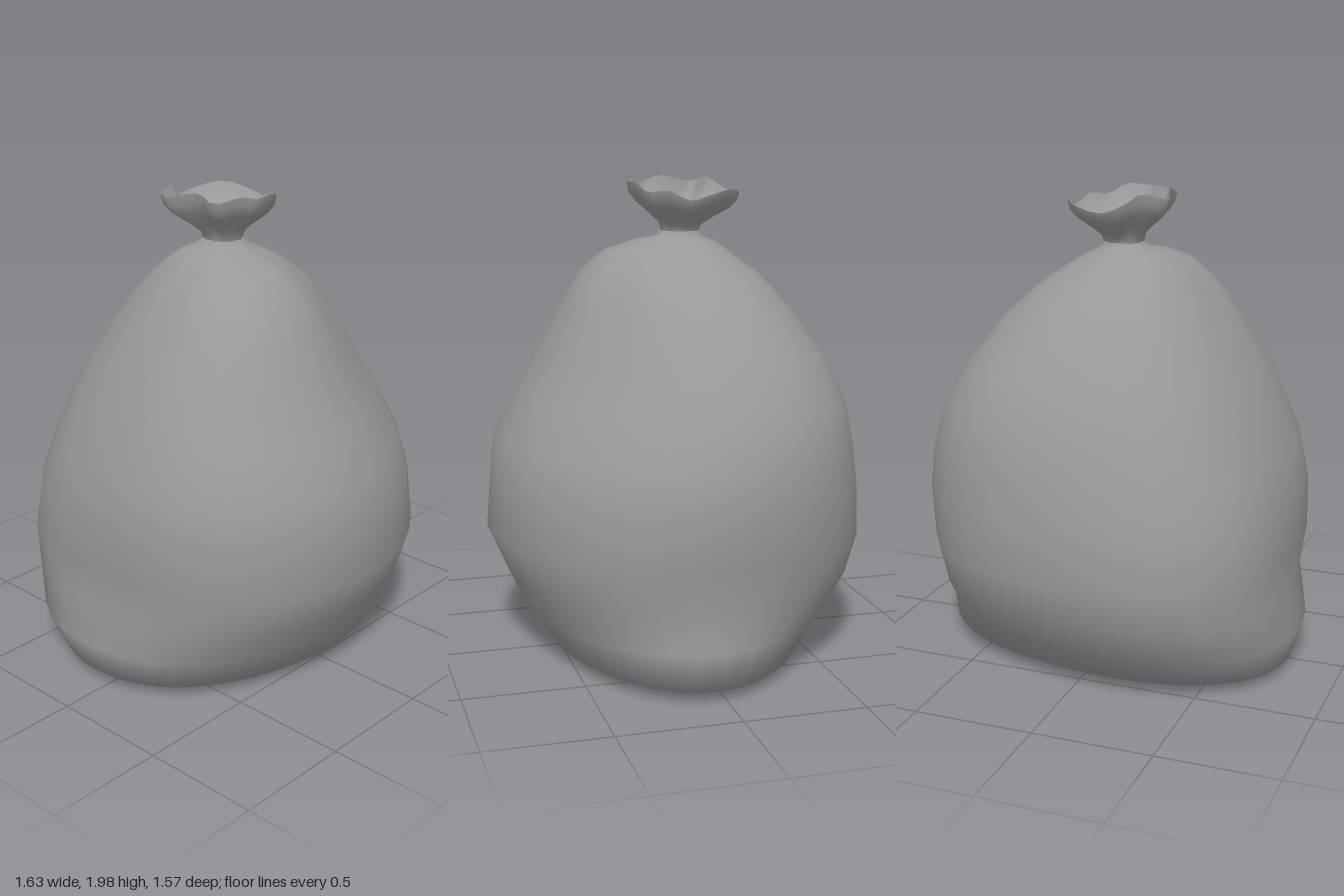
import * as THREE from 'three';

const SEG = 36;
const material = new THREE.MeshStandardMaterial({ color: 0x999999, side: THREE.DoubleSide });

// Skin a stack of closed rings (arrays of SEG points) with smooth normals
function loft(rings, name) {
  const pos = [], index = [];
  rings.forEach(ring => ring.forEach(p => pos.push(p.x, p.y, p.z)));
  for (let i = 0; i < rings.length - 1; i++) {
    for (let j = 0; j < SEG; j++) {
      const k = (j + 1) % SEG;
      const a = i * SEG + j, b = i * SEG + k, c = a + SEG, d = b + SEG;
      index.push(a, c, b, b, c, d);
    }
  }
  const geo = new THREE.BufferGeometry();
  geo.setAttribute('position', new THREE.Float32BufferAttribute(pos, 3));
  geo.setIndex(index);
  geo.computeVertexNormals();
  const mesh = new THREE.Mesh(geo, material);
  mesh.name = name;
  return mesh;
}

// One cross-section: extents, fullness on all diagonals, skew between the
// two diagonals, and pleat depth
function section([y, x0, x1, z0, z1, full = 0, skew = 0, pleat = 0]) {
  return Array.from({ length: SEG }, (_, j) => {
    const a = (j / SEG) * Math.PI * 2;
    const diagonal = Math.sin(2 * a) ** 2 * (full + 0.035 - 0.05 * Math.cos(a - Math.PI / 4));
    const lean = -0.08 * Math.cos(a) * Math.sin(a) ** 4 + skew * Math.sin(2 * a);
    const r = 1 + diagonal + lean + pleat * Math.cos(9 * a + Math.sin(2 * a));
    return new THREE.Vector3(
      (x0 + x1) / 2 + ((x1 - x0) / 2) * r * Math.cos(a), y,
      (z0 + z1) / 2 + ((z1 - z0) / 2) * r * Math.sin(a));
  });
}

// Sack from the underside up to the tied neck: y, xMin, xMax, zMin, zMax
const BODY = [
  [0.02, -0.01, 0.01, -0.01, 0.01],
  [0.01, -0.55, 0.52, -0.26, 0.3, 0, 0.04],
  [0.055, -0.775, 0.8, -0.52, 0.54, -0.02, 0.05],
  [0.2, -0.82, 0.785, -0.65, 0.64, -0.02, 0.04],
  [0.36, -0.765, 0.765, -0.735, 0.715, 0.02, 0.015],
  [0.53, -0.78, 0.795, -0.78, 0.785, 0.01],
  [0.75, -0.775, 0.81, -0.76, 0.765, 0, -0.015],
  [0.92, -0.73, 0.775, -0.725, 0.735, 0, -0.04],
  [1.1, -0.655, 0.705, -0.68, 0.625, 0, -0.065],
  [1.28, -0.57, 0.595, -0.59, 0.53, 0, -0.08],
  [1.47, -0.455, 0.455, -0.46, 0.44, 0, -0.08, 0.008],
  [1.6, -0.365, 0.32, -0.35, 0.365, 0, -0.07, 0.012],
  [1.69, -0.28, 0.19, -0.235, 0.26, 0, -0.05, 0.02],
  [1.73, -0.205, 0.11, -0.18, 0.14, 0, -0.03, 0.03],
  [1.75, -0.12, 0.07, -0.13, 0.06, 0, 0, 0.04],
  [1.775, -0.1, 0.06, -0.115, 0.04, 0, 0, 0.04],
];

// Ragged edge of the open ruffle
const RIM = new THREE.CatmullRomCurve3([
  [0.2, 1.91, -0.02], [0.165, 1.95, 0.065], [0.11, 1.94, 0.13], [0.045, 1.98, 0.175],
  [-0.065, 1.975, 0.18], [-0.1, 1.985, 0.145], [-0.21, 1.965, 0.08], [-0.205, 1.995, 0],
  [-0.25, 1.965, -0.13], [-0.25, 1.97, -0.17], [-0.15, 1.99, -0.195], [-0.11, 1.96, -0.23],
  [-0.02, 1.92, -0.285], [0.11, 1.94, -0.25], [0.155, 1.95, -0.2], [0.2, 1.925, -0.09],
].map(p => new THREE.Vector3(...p)), true);

// Ruffle ring between the neck and the rim: height and spread as fractions
function ruffle(neck, height, spread) {
  return neck.map((n, j) => {
    const rim = RIM.getPoint(j / SEG);
    const p = n.clone().lerp(rim, spread);
    p.y = THREE.MathUtils.lerp(n.y, rim.y, height);
    return p;
  });
}

export function createModel() {
  const group = new THREE.Group();
  group.name = 'tiedSack';

  const body = BODY.map(section);
  const neck = body[body.length - 1];
  group.add(loft(body, 'sackBody'));

  // Flared ruffle above the tie
  const outside = [[0, 0], [0.15, 0.06], [0.35, 0.34], [0.6, 0.74], [0.8, 0.94], [1, 1]];
  group.add(loft(outside.map(([h, s]) => ruffle(neck, h, s)), 'ruffleOutside'));

  // Funnel inside the ruffle, closing to a pinch
  const inside = [[1, 1], [0.8, 0.88], [0.6, 0.65], [0.38, 0.25], [0.22, 0]];
  const funnel = inside.map(([h, s]) => ruffle(neck, h, s));
  funnel.push(neck.map(() => new THREE.Vector3(-0.02, 1.79, -0.04)));
  group.add(loft(funnel, 'ruffleInside'));

  return group;
}
